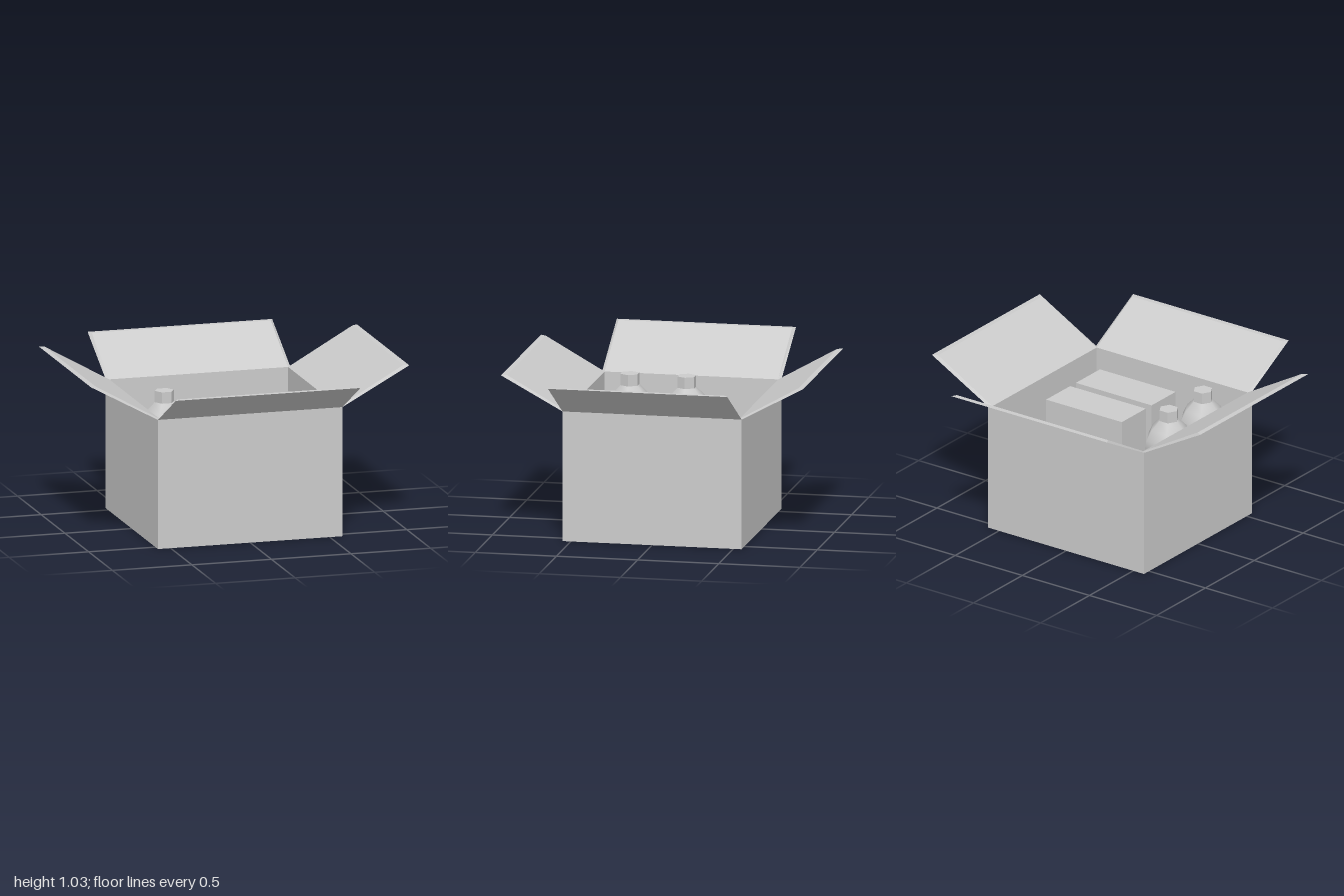
import * as THREE from 'three';

const material = new THREE.MeshStandardMaterial({ color: 0xcccccc });
const flatMaterial = new THREE.MeshStandardMaterial({ color: 0xcccccc, flatShading: true });

const WALL = 0.018; // cardboard thickness
const HEIGHT = 0.8;
const FLOOR = 0.025;
const HALF_X = 0.58;
const HALF_Z = 0.552;

function addMesh(parent, name, geometry, mat = flatMaterial) {
  const mesh = new THREE.Mesh(geometry, mat);
  mesh.name = name;
  parent.add(mesh);
  return mesh;
}

// Cardboard sheet facing +z: outer face w wide, inner face inset at the sides
function sheet(w, bottom, top) {
  const quad = (half, a, b) => [[-half, ...a], [half, ...a], [half, ...b], [-half, ...b]];
  const corners = [
    ...quad(w, bottom.outer, top.outer),
    ...quad(w - WALL, bottom.inner, top.inner),
  ];
  const faces = [[0, 1, 2, 3], [5, 4, 7, 6]];
  for (let i = 0; i < 4; i++) {
    const j = (i + 1) % 4;
    faces.push([i, i + 4, j + 4, j]);
  }
  const positions = [];
  for (const [a, b, c, d] of faces) {
    for (const k of [a, b, c, a, c, d]) positions.push(...corners[k]);
  }
  const geometry = new THREE.BufferGeometry();
  geometry.setAttribute('position', new THREE.Float32BufferAttribute(positions, 3));
  geometry.computeVertexNormals();
  return geometry;
}

// One wall with its open flap, built facing +z
function createSide(name, halfWidth, distance, tipDistance, tipHeight) {
  const side = new THREE.Group();
  side.name = name + 'Side';
  const base = { outer: [0, distance], inner: [0, distance - WALL] };
  const rim = { outer: [HEIGHT, distance], inner: [HEIGHT, distance - WALL] };
  const tip = { outer: [tipHeight, tipDistance], inner: [tipHeight, tipDistance - 0.033] };
  addMesh(side, name + 'Wall', sheet(halfWidth, base, rim));
  addMesh(side, name + 'Flap', sheet(halfWidth, rim, tip));
  return side;
}

// Six-sided bottle with a rounded shoulder and a cap
function createBottle() {
  const bottle = new THREE.Group();
  bottle.name = 'bottle';
  const profile = [
    [0, 0], [0.158, 0], [0.158, 0.57], [0.146, 0.62], [0.115, 0.68], [0.06, 0.735], [0.05, 0.75],
  ].map(([r, y]) => new THREE.Vector2(r, y));
  addMesh(bottle, 'bottleBody', new THREE.LatheGeometry(profile, 6, Math.PI / 6), material);
  const cap = new THREE.CylinderGeometry(0.06, 0.06, 0.07, 6);
  cap.rotateY(Math.PI / 6);
  addMesh(bottle, 'bottleCap', cap).position.y = 0.77;
  return bottle;
}

export function createModel() {
  const model = new THREE.Group();
  model.name = 'openBox';

  // Four walls and flaps, turned a quarter each
  ['front', 'left', 'back', 'right'].forEach((name, i) => {
    const side = i % 2
      ? createSide(name, HALF_Z, HALF_X, 1, 1.03)
      : createSide(name, HALF_X, HALF_Z, 0.93, 1.005);
    side.rotation.y = i * Math.PI / 2;
    model.add(side);
  });

  // Floor, slightly recessed
  const floor = new THREE.BoxGeometry(2 * (HALF_X - WALL), 0.015, 2 * (HALF_Z - WALL));
  addMesh(model, 'floor', floor).position.y = FLOOR + 0.0075;

  // Contents: two bottles beside two cartons
  for (const z of [-0.012, 0.338]) {
    const bottle = createBottle();
    bottle.position.set(-0.372, FLOOR + 0.01, z);
    model.add(bottle);
  }
  for (const z of [-0.007, 0.298]) {
    const carton = new THREE.BoxGeometry(0.564, 0.69, 0.246);
    addMesh(model, 'carton', carton).position.set(0.174, FLOOR + 0.01 + 0.345, z);
  }
  return model;
}
